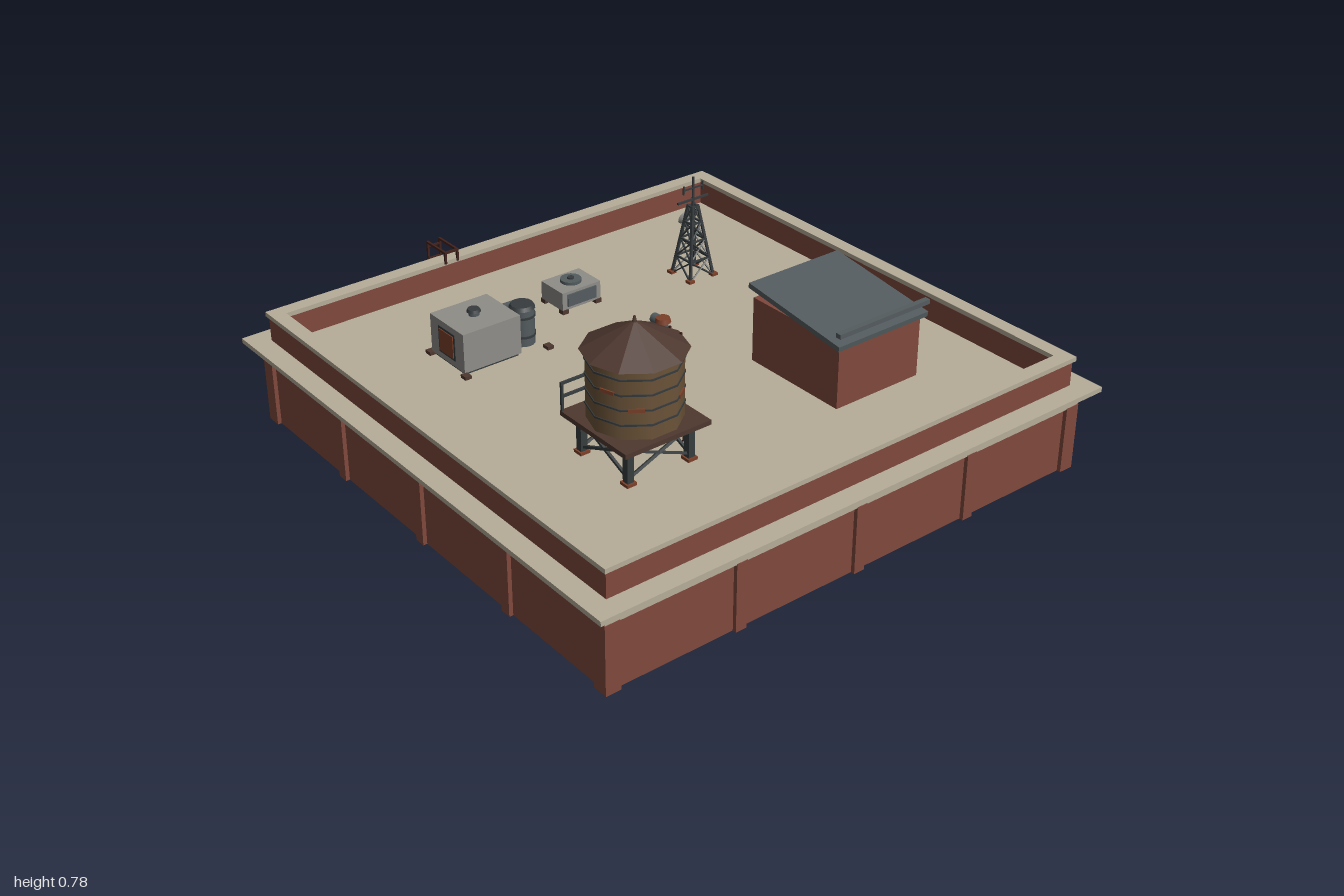
import * as THREE from 'three';

const mat = (name, color) => {
  const m = new THREE.MeshStandardMaterial({ color });
  m.name = name;
  return m;
};

export function createModel() {
  const brick = mat('brick', 0x80483d);
  const stone = mat('stone', 0xb6ad99);
  const trim = mat('trim grey', 0x938d80);
  const metal = mat('light metal', 0x8e8d88);
  const slate = mat('slate metal', 0x545c5f);
  const steel = mat('dark steel', 0x373c3e);
  const wood = mat('tank wood', 0x6c5439);
  const brown = mat('dark brown', 0x4e382f);
  const rust = mat('rust', 0x7c4029);
  const iron = mat('ladder iron', 0x42211b);

  const model = new THREE.Group();
  model.name = 'rooftop';
  let parent = model;
  const group = (name, x = 0, y = 0, z = 0) => {
    const g = new THREE.Group();
    g.name = name;
    g.position.set(x, y, z);
    model.add(g);
    parent = g;
    return g;
  };
  const add = (name, geo, m, x = 0, y = 0, z = 0) => {
    const mesh = new THREE.Mesh(geo, m);
    mesh.name = name;
    mesh.position.set(x, y, z);
    parent.add(mesh);
    return mesh;
  };
  // Box given by its limits on each axis
  const box = (name, m, x0, x1, y0, y1, z0, z1) =>
    add(name, new THREE.BoxGeometry(x1 - x0, y1 - y0, z1 - z0), m, (x0 + x1) / 2, (y0 + y1) / 2, (z0 + z1) / 2);
  const cyl = (name, m, r0, r1, y0, y1, x, z, n = 16) =>
    add(name, new THREE.CylinderGeometry(r1, r0, y1 - y0, n), m, x, (y0 + y1) / 2, z);
  // Square bar between two points
  const bar = (name, m, a, b, t) => {
    const p = new THREE.Vector3(...a), q = new THREE.Vector3(...b);
    const mesh = add(name, new THREE.BoxGeometry(t, t, p.distanceTo(q)), m);
    mesh.position.copy(p).add(q).multiplyScalar(0.5);
    mesh.quaternion.setFromUnitVectors(new THREE.Vector3(0, 0, 1), q.sub(p).normalize());
    return mesh;
  };
  // Square ring lying flat
  const ring = (name, m, outer, inner, y0, y1) => {
    const sq = (P, r) => new P([[-r, -r], [r, -r], [r, r], [-r, r]].map(([x, y]) => new THREE.Vector2(x, y)));
    const s = sq(THREE.Shape, outer);
    s.holes.push(sq(THREE.Path, inner));
    const geo = new THREE.ExtrudeGeometry(s, { depth: y1 - y0, bevelEnabled: false });
    geo.rotateX(-Math.PI / 2);
    add(name, geo, m, 0, y0, 0);
  };
  const corners = [[-1, -1], [1, -1], [1, 1], [-1, 1]];
  const F = 0.305; // roof floor height

  // Building block, pilasters, cornice and parapet
  group('building');
  box('walls', brick, -0.938, 0.938, 0, 0.24, -0.938, 0.938);
  for (const [x, z] of corners)
    box('cornerPilaster', brick, x * 0.925 - 0.027, x * 0.925 + 0.027, 0, 0.238, z * 0.925 - 0.027, z * 0.925 + 0.027);
  for (const s of [-1, 1])
    for (const c of [-0.465, 0, 0.465]) {
      box('pilaster', brick, c - 0.02, c + 0.02, 0, 0.238, s * 0.938 - 0.014, s * 0.938 + 0.014);
      box('pilaster', brick, s * 0.938 - 0.014, s * 0.938 + 0.014, 0, 0.238, c - 0.02, c + 0.02);
    }
  box('corniceLower', stone, -0.95, 0.95, 0.235, 0.265, -0.95, 0.95);
  box('corniceMiddle', trim, -0.972, 0.972, 0.265, 0.288, -0.972, 0.972);
  box('corniceUpper', stone, -1, 1, 0.288, F, -1, 1);
  ring('parapet', brick, 0.928, 0.892, F, 0.396);
  ring('coping', stone, 0.936, 0.885, 0.394, 0.41);

  // Stair house with a sloping roof
  group('stairHouse');
  box('houseWalls', brick, 0.24, 0.59, F, 0.535, 0.17, 0.575);
  const slope = box('houseRoof', slate, 0.225, 0.61, 0.545, 0.563, 0.16, 0.59);
  slope.rotation.x = 0.125;
  box('roofStrip', slate, 0.225, 0.61, 0.565, 0.581, 0.573, 0.593);
  box('doorFrame', steel, 0.36, 0.495, F, 0.51, 0.163, 0.171);
  box('door', slate, 0.372, 0.483, F, 0.498, 0.159, 0.165);
  box('doorWindow', steel, 0.405, 0.45, 0.43, 0.475, 0.157, 0.16);
  box('doorHandle', metal, 0.465, 0.475, 0.385, 0.4, 0.154, 0.16);
  box('windowFrame', steel, 0.588, 0.595, 0.435, 0.508, 0.325, 0.432);
  box('windowPane', slate, 0.592, 0.598, 0.442, 0.501, 0.332, 0.425);

  // Water tower
  group('waterTower', -0.42, 0, 0.4);
  box('platform', brown, -0.16, 0.16, 0.43, 0.446, -0.162, 0.162);
  for (const [i, [x, z]] of corners.entries()) {
    const [nx, nz] = corners[(i + 1) % 4], r = 0.115;
    box('towerLeg', steel, x * r - 0.012, x * r + 0.012, F, 0.43, z * r - 0.012, z * r + 0.012);
    box('legFoot', rust, x * r - 0.018, x * r + 0.018, F, F + 0.01, z * r - 0.018, z * r + 0.018);
    bar('brace', steel, [x * r, 0.325, z * r], [nx * r, 0.42, nz * r], 0.009);
    bar('brace', steel, [nx * r, 0.325, nz * r], [x * r, 0.42, z * r], 0.009);
    bar('legBeam', steel, [x * r, 0.42, z * r], [nx * r, 0.42, nz * r], 0.016);
  }
  const turn = Math.PI / 2; // puts polygon corners on the x axis
  cyl('tank', wood, 0.148, 0.148, 0.446, 0.68, 0, 0, 10).rotation.y = turn;
  for (const y of [0.495, 0.545, 0.595, 0.645])
    cyl('tankBand', steel, 0.151, 0.151, y - 0.003, y + 0.003, 0, 0, 10).rotation.y = turn;
  for (let i = 0; i < 10; i++) {
    const a = (i + 0.5) * Math.PI / 5, d = 0.1425;
    if (i % 3 === 1) continue;
    const y = i % 2 ? 0.595 : 0.545;
    const patch = add('rustPatch', new THREE.BoxGeometry(0.05, 0.012, 0.006), rust, Math.sin(a + turn) * d, y, Math.cos(a + turn) * d);
    patch.rotation.y = a + turn;
  }
  const tankRoof = cyl('tankRoof', brown, 0.166, 0.008, 0.676, 0.762, 0, 0, 10);
  tankRoof.geometry = tankRoof.geometry.toNonIndexed();
  tankRoof.geometry.computeVertexNormals();
  tankRoof.rotation.y = turn;
  cyl('finial', brown, 0.009, 0.003, 0.755, 0.782, 0, 0, 8);
  for (const x of [-0.155, -0.052, 0.052, 0.155])
    box('railPost', steel, x - 0.004, x + 0.004, 0.446, 0.54, -0.16, -0.152);
  for (const y of [0.495, 0.54]) bar('rail', steel, [-0.159, y, -0.156], [0.159, y, -0.156], 0.008);
  for (const z of [-0.026, 0.026]) {
    bar('tankLadderRail', iron, [0.165, F, z], [0.165, 0.446, z], 0.006);
    bar('tankLadderRail', iron, [0.153, 0.446, z], [0.153, 0.685, z], 0.006);
  }
  for (let i = 0; i < 13; i++) {
    const y = 0.325 + i * 0.028, x = y < 0.446 ? 0.165 : 0.153;
    bar('tankLadderRung', rust, [x, y, -0.026], [x, y, 0.026], 0.005);
  }

  // Large air handler with a side tank
  group('airHandler');
  box('handlerBody', metal, -0.557, -0.335, F + 0.01, 0.455, -0.517, -0.322);
  box('handlerBase', steel, -0.55, -0.342, F, F + 0.012, -0.51, -0.33);
  cyl('handlerCap', slate, 0.018, 0.018, 0.455, 0.468, -0.45, -0.42);
  cyl('handlerCapTop', steel, 0.024, 0.02, 0.468, 0.478, -0.45, -0.42);
  box('backVent', steel, -0.51, -0.425, 0.345, 0.43, -0.526, -0.516);
  box('backHatch', slate, -0.4, -0.35, 0.345, 0.43, -0.522, -0.516);
  box('sidePanel', rust, -0.562, -0.556, 0.345, 0.425, -0.46, -0.38);
  box('sidePanelFrame', steel, -0.559, -0.555, 0.337, 0.433, -0.468, -0.372);
  cyl('sideTank', slate, 0.042, 0.042, F, 0.435, -0.275, -0.4);
  cyl('sideTankLid', steel, 0.045, 0.038, 0.435, 0.448, -0.275, -0.4);
  for (const y of [0.335, 0.405]) cyl('sideTankBand', steel, 0.045, 0.045, y, y + 0.008, -0.275, -0.4);
  bar('upperPipe', slate, [-0.336, 0.42, -0.462], [-0.25, 0.42, -0.462], 0.016);
  box('pipeDrop', slate, -0.266, -0.25, F, 0.428, -0.47, -0.454);
  bar('lowerPipe', rust, [-0.336, 0.36, -0.4], [-0.3, 0.36, -0.4], 0.016);
  for (const x of [-0.56, -0.235])
    for (const z of [-0.52, -0.31]) box('floorPad', brown, x - 0.012, x + 0.012, F, F + 0.012, z - 0.014, z + 0.014);

  // Small fan unit
  group('fanUnit', 0.02, 0, -0.533);
  box('fanBody', metal, -0.08, 0.08, 0.318, 0.385, -0.062, 0.062);
  for (const [x, z] of corners)
    box('fanFoot', brown, x * 0.07 - 0.012, x * 0.07 + 0.012, F, 0.32, z * 0.054 - 0.012, z * 0.054 + 0.012);
  cyl('fanRing', slate, 0.037, 0.037, 0.385, 0.396, 0, 0, 20);
  cyl('fanHub', steel, 0.012, 0.012, 0.396, 0.401, 0, 0, 12);
  for (const s of [-1, 1]) box('fanGrille', slate, -0.06, 0.06, 0.33, 0.375, s * 0.064 - 0.003, s * 0.064 + 0.003);
  box('fanSidePanel', rust, 0.078, 0.083, 0.33, 0.375, -0.035, 0.045);

  // Vent pipe with a hood turned to the back
  group('ventPipe', 0.02, 0, -0.022);
  cyl('pipe', slate, 0.018, 0.018, F, 0.445, 0, 0);
  cyl('pipeFlange', steel, 0.03, 0.028, F, F + 0.012, 0, 0);
  cyl('hoodCap', rust, 0.027, 0.023, 0.44, 0.455, 0, 0);
  const hood = add('hoodOutlet', new THREE.CylinderGeometry(0.018, 0.018, 0.048, 16), slate, 0, 0.435, -0.024);
  hood.rotation.x = Math.PI / 2;

  // Antenna mast
  group('antenna', 0.485, 0, -0.44);
  const radius = (y) => 0.052 - (y - F) * 0.15;
  const levels = [F, 0.375, 0.445, 0.51, 0.57];
  for (const [i, [x, z]] of corners.entries()) {
    const [nx, nz] = corners[(i + 1) % 4];
    const at = (sx, sz, y) => [sx * radius(y), y, sz * radius(y)];
    bar('mastLeg', steel, at(x, z, F), at(x, z, 0.575), 0.009);
    box('mastFoot', rust, x * 0.052 - 0.012, x * 0.052 + 0.012, F, F + 0.01, z * 0.052 - 0.012, z * 0.052 + 0.012);
    for (let k = 0; k < 4; k++) {
      bar('mastBrace', steel, at(x, z, levels[k]), at(nx, nz, levels[k + 1]), 0.005);
      bar('mastBrace', steel, at(nx, nz, levels[k]), at(x, z, levels[k + 1]), 0.005);
      bar('mastRing', steel, at(x, z, levels[k + 1]), at(nx, nz, levels[k + 1]), 0.006);
    }
  }
  cyl('mastPole', steel, 0.005, 0.004, 0.56, 0.68, 0, 0, 8);
  bar('lowerCrossbar', steel, [-0.068, 0.595, 0], [0.068, 0.595, 0], 0.007);
  bar('upperCrossbar', steel, [-0.042, 0.638, 0], [0.042, 0.638, 0], 0.005);
  for (const x of [-0.042, 0.042]) bar('crossbarTip', steel, [x, 0.622, 0], [x, 0.654, 0], 0.005);
  const dishMetal = metal.clone();
  dishMetal.side = THREE.DoubleSide;
  const profile = [[0.001, 0], [0.012, 0.002], [0.022, 0.007], [0.028, 0.013]].map(([x, y]) => new THREE.Vector2(x, y));
  const dish = add('dish', new THREE.LatheGeometry(profile, 16), dishMetal, 0, 0.505, -0.034);
  dish.rotation.x = -1.25;

  // Wall ladder at the back
  group('wallLadder');
  for (const x of [-0.262, -0.213]) {
    bar('ladderRail', iron, [x, 0.02, -0.996], [x, 0.446, -0.996], 0.008);
    bar('ladderTop', iron, [x, 0.442, -1], [x, 0.442, -0.88], 0.008);
    bar('ladderHook', iron, [x, 0.4, -0.884], [x, 0.446, -0.884], 0.008);
  }
  for (let i = 0; i < 9; i++) bar('ladderRung', iron, [-0.262, 0.05 + i * 0.047, -0.996], [-0.213, 0.05 + i * 0.047, -0.996], 0.006);
  bar('ladderTopRung', iron, [-0.262, 0.442, -0.884], [-0.213, 0.442, -0.884], 0.008);

  return model;
}
